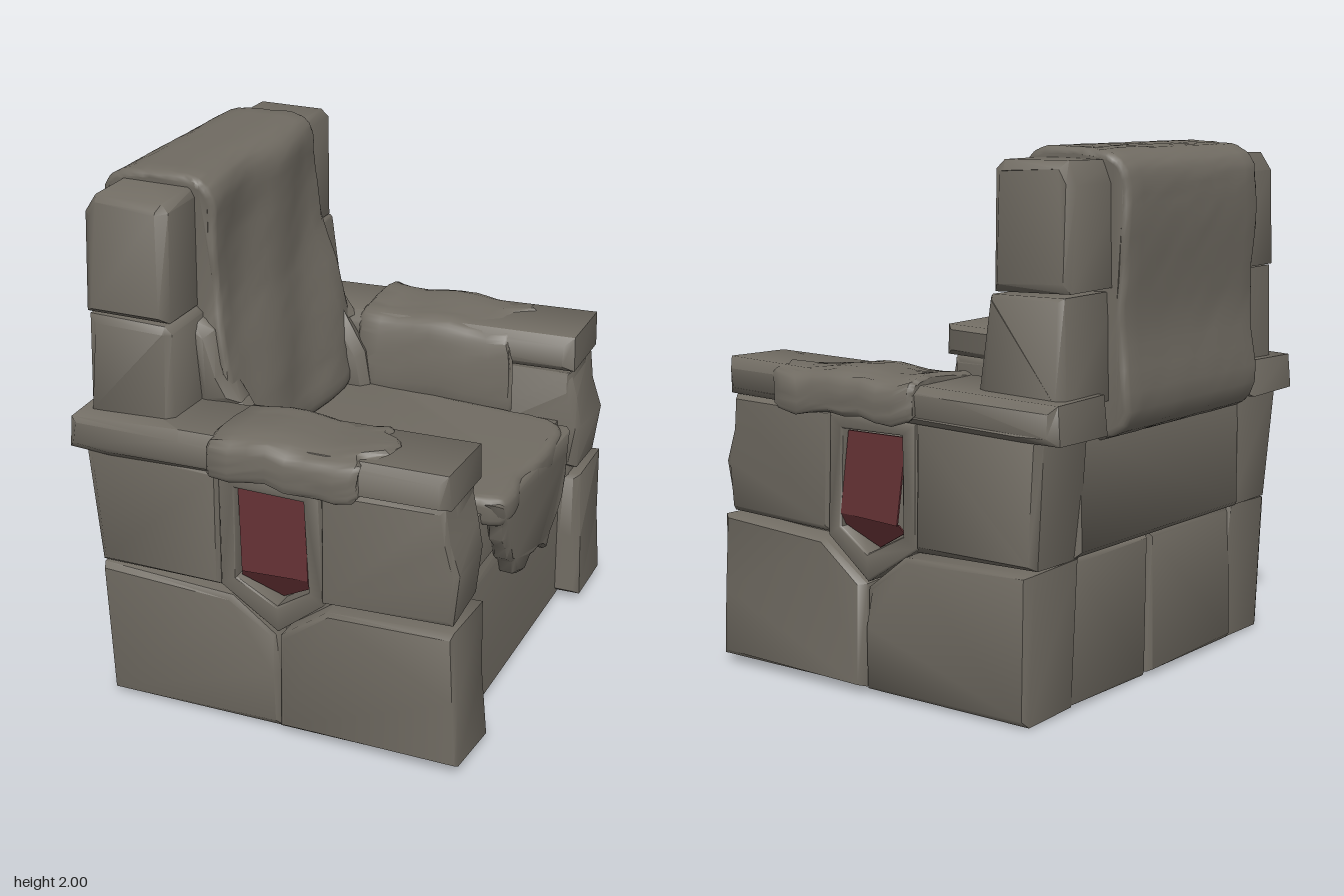
import * as THREE from 'three';
import { toCreasedNormals } from 'three/addons/utils/BufferGeometryUtils.js';

const stone = new THREE.MeshStandardMaterial({ color: 0x706b62 });
stone.name = 'grey stone and cloth';
const red = new THREE.MeshStandardMaterial({ color: 0x643134 });
red.name = 'dark red';

// repeatable wobble in -1..1 taken from a position
const hash = (x, y, z, k) => {
  const s = Math.sin(x * 127.1 + y * 311.7 + z * 74.7 + k * 19.3) * 4375.85;
  return (s - Math.floor(s)) * 2 - 1;
};

// move every vertex by a rule
function bend(geo, rule) {
  const p = geo.attributes.position, v = new THREE.Vector3();
  for (let i = 0; i < p.count; i++) {
    v.fromBufferAttribute(p, i);
    rule(v);
    p.setXYZ(i, v.x, v.y, v.z);
  }
  return geo;
}

const smooth = (pts, n = 56) => new THREE.CatmullRomCurve3(
  pts.map(([x, y]) => new THREE.Vector3(x, y, 0)), true, 'centripetal').getPoints(n).slice(0, n).map(p => [p.x, p.y]);

const rect = (x0, x1, y0, y1) => [[x0, y0], [x1, y0], [x1, y1], [x0, y1]];

export function createModel() {
  const group = new THREE.Group();

  // Bevelled prism. axis z: outline is (x, y); axis x: outline is (-z, y); axis y: outline is (x, z), a..b downward.
  function prism(name, pts, a, b, o = {}) {
    const { axis = 'z', bevel = 0.02, rough = 0.008, steps = 1, rounds = 1, hole, rule, crease = 0.9, mat = stone } = o;
    const shape = new THREE.Shape(pts.map(p => new THREE.Vector2(...p)));
    if (hole) shape.holes.push(new THREE.Path(hole.map(p => new THREE.Vector2(...p))));
    const geo = new THREE.ExtrudeGeometry(shape, {
      depth: b - a - 2 * bevel, steps, bevelEnabled: bevel > 0,
      bevelSize: bevel, bevelThickness: bevel, bevelOffset: -bevel, bevelSegments: rounds,
    });
    geo.translate(0, 0, a + bevel);
    if (axis === 'x') geo.rotateY(Math.PI / 2);
    if (axis === 'y') geo.rotateX(Math.PI / 2);
    bend(geo, v => {
      const [x, y, z] = [v.x, v.y, v.z].map(n => Math.round(n * 500) / 500);
      v.x += rough * hash(x, y, z, 1);
      v.y = Math.max(0, v.y + rough * hash(x, y, z, 2));
      v.z += rough * hash(x, y, z, 3);
      if (rule) rule(v);
    });
    const mesh = new THREE.Mesh(toCreasedNormals(geo, crease), mat);
    mesh.name = name;
    group.add(mesh);
    return mesh;
  }

  // Seat base with a sloping ledge, and the back wall
  prism('baseFront', [[-0.6, 0.02], [0.7, 0.02], [0.7, 0.55], [0.67, 0.62], [-0.6, 0.62]], -0.58, 0.58, { bevel: 0.01, rough: 0.004, crease: 0.4 });
  prism('seatBlock', rect(-0.6, 0.685, 0.6, 0.82), -0.58, 0.58);
  prism('backLowerStoneLeft', rect(-0.57, 0.04, 0.01, 0.56), -0.645, -0.5, { axis: 'x' });
  prism('backLowerStoneRight', rect(0.04, 0.57, 0.01, 0.56), -0.64, -0.5, { axis: 'x' });
  prism('backUpperStone', rect(-0.57, 0.57, 0.56, 1.03), -0.675, -0.5, { axis: 'x' });

  // Both arms with their shields, caps, cloths and back pillars
  for (const s of [1, -1]) {
    const side = (name, pts, z0, z1, o) => prism(name, pts, s > 0 ? z0 : -z1, s > 0 ? z1 : -z0, o);
    const flip = pts => pts.map(([z, y]) => [-s * z, y]);

    side('armLowerBackStone', [[-0.63, 0.01], [0.09, 0.02], [0.095, 0.25], [0.075, 0.41], [-0.1, 0.54], [-0.65, 0.56]], 0.53, 0.83);
    side('armLowerFrontStone', [[0.09, 0.02], [0.8, 0.03], [0.785, 0.3], [0.775, 0.59], [0.28, 0.56], [0.09, 0.42]], 0.54, 0.84);
    side('armUpperBackStone', [[-0.655, 0.565], [-0.14, 0.565], [-0.14, 1.04], [-0.69, 1.03]], 0.52, 0.82);
    side('armUpperFrontStone', [[0.25, 0.58], [0.755, 0.605], [0.775, 0.8], [0.745, 0.92], [0.72, 1.06], [0.24, 1.04]], 0.54, 0.82);
    side('armCore', rect(-0.6, 0.73, 0.06, 1.04), 0.54, 0.735, { rough: 0 });

    // Shield frame with a folded red inlay
    side('shieldFrame', [[-0.15, 1.03], [-0.15, 0.575], [0.08, 0.425], [0.265, 0.575], [0.25, 1.03]], 0.7, 0.82, {
      bevel: 0.006, rough: 0.002,
      hole: [[-0.085, 0.98], [-0.085, 0.615], [0.08, 0.53], [0.205, 0.615], [0.19, 0.98]],
    });
    const flat = { bevel: 0, rough: 0, mat: red };
    side('shieldInlay', [[-0.083, 0.97], [-0.06, 0.65], [0.203, 0.665], [0.185, 0.97]], 0.785, 0.793,
      { ...flat, rule: v => { v.z += s * (0.97 - v.y) * 0.09; } });
    side('shieldInlayTip', [[-0.06, 0.65], [-0.075, 0.62], [0.075, 0.54], [0.2, 0.62], [0.203, 0.665]], 0.812, 0.82,
      { ...flat, rule: v => { v.z -= s * (0.665 - v.y) * 0.55; } });

    // Arm cap, a little higher at the front
    side('armCap', [[-0.765, 1.01], [-0.6, 1.01], [0.74, 1.055], [0.735, 1.195], [-0.3, 1.165], [-0.75, 1.15]], 0.49, 0.85, { bevel: 0.03 });

    // Cloth folded over the arm, with ragged ends
    prism('armCloth', smooth(flip([[0.45, 0.84], [0.46, 1.08], [0.5, 1.17], [0.6, 1.19], [0.8, 1.195], [0.865, 1.16],
      [0.88, 1.08], [0.87, 1.035], [0.8, 1.06], [0.56, 1.05], [0.52, 0.85]])), -0.17, 0.45, {
      axis: 'x', bevel: 0.015, rough: 0.002, steps: 8,
      rule: v => {
        const z = s * v.z, end = THREE.MathUtils.smoothstep(v.x, 0.2, 0.45);
        v.x += end * (0.05 * Math.sin(z * 19 + s) + 0.02 * Math.sin(z * 61));
        v.y += 0.01 * Math.sin(v.x * 15 + s);
        if (z > 0.84) v.y += 0.008 * Math.sin(v.x * 31);
      },
    });

    // Two stacked pillar stones beside the backrest
    const lean = v => { v.z -= s * (v.y - 1.3) * 0.06; };
    side('pillarLowerStone', [[-0.72, 1.12], [-0.365, 1.12], [-0.385, 1.48], [-0.4, 1.5], [-0.71, 1.505]], 0.36, 0.735, { bevel: 0.025, rule: lean });
    side('pillarUpperStone', [[-0.73, 1.51], [-0.4, 1.505], [-0.4, 1.92], [-0.43, 1.955], [-0.69, 1.955], [-0.73, 1.88]], 0.36, 0.735,
      { bevel: 0.03, rule: lean });

    // Torn folds where the back cloth meets the arm
    side('tornFold', [[-0.4, 1.46], [-0.32, 1.42], [-0.28, 1.27], [-0.21, 1.16], [-0.38, 1.12]], 0.42, 0.535, { bevel: 0.03, rough: 0.012 });
    side('cornerFold', [[-0.4, 1.2], [-0.24, 1.2], [-0.13, 1.02], [-0.1, 0.84], [-0.4, 0.84]], 0.4, 0.51, { bevel: 0.03, rough: 0.01 });
  }

  // Thick cloth over the backrest, flaring towards the seat
  prism('backCloth', smooth([[-0.785, 1.03], [-0.775, 1.4], [-0.795, 1.78], [-0.775, 1.93], [-0.71, 1.98], [-0.58, 1.995], [-0.41, 1.99],
    [-0.35, 1.94], [-0.335, 1.75], [-0.305, 1.5], [-0.25, 1.27], [-0.205, 1.05], [-0.19, 0.88], [-0.4, 0.86], [-0.6, 0.95]], 78), -0.455, 0.465, {
    bevel: 0.025, rounds: 3, rough: 0.002, steps: 12, crease: 1,
    rule: v => {
      const front = THREE.MathUtils.smoothstep(v.x, -0.5, -0.33);
      const flare = Math.exp(-(((v.y - 1.25) / 0.22) ** 2)) * 0.1 - 0.05 * THREE.MathUtils.smoothstep(1.15 - v.y, 0, 0.25);
      v.z *= 1 + front * flare + 0.012 * Math.sin(v.y * 23);
      v.x += front * 0.012 * Math.sin(v.z * 11 + v.y * 5);
    },
  });

  // Seat cloth and its ragged drape over the front edge
  prism('seatCloth', smooth([[-0.25, -0.46], [0.1, -0.47], [0.45, -0.45], [0.68, -0.43], [0.745, -0.38], [0.77, -0.25], [0.77, -0.05],
    [0.755, 0.1], [0.775, 0.22], [0.755, 0.33], [0.6, 0.37], [0.5, 0.44], [-0.25, 0.46]]), -0.88, -0.76, {
    axis: 'y', bevel: 0.035, rounds: 4, rough: 0.002, crease: 1,
  });
  prism('seatDrape', [[-0.35, 0.86], [-0.33, 0.79], [-0.3, 0.75], [-0.29, 0.69], [-0.25, 0.64], [-0.23, 0.58], [-0.19, 0.55],
    [-0.17, 0.49], [-0.12, 0.47], [-0.07, 0.455], [0, 0.48], [0.05, 0.46], [0.12, 0.46], [0.17, 0.44], [0.22, 0.405],
    [0.25, 0.47], [0.31, 0.53], [0.35, 0.58], [0.385, 0.66], [0.4, 0.76], [0.42, 0.86]], 0.69, 0.77, {
    axis: 'x', bevel: 0.015, rough: 0.003,
    rule: v => { v.x += 0.006 * Math.sin(v.z * 14) - 0.03 * Math.max(0, 0.7 - v.y); },
  });

  return group;
}
